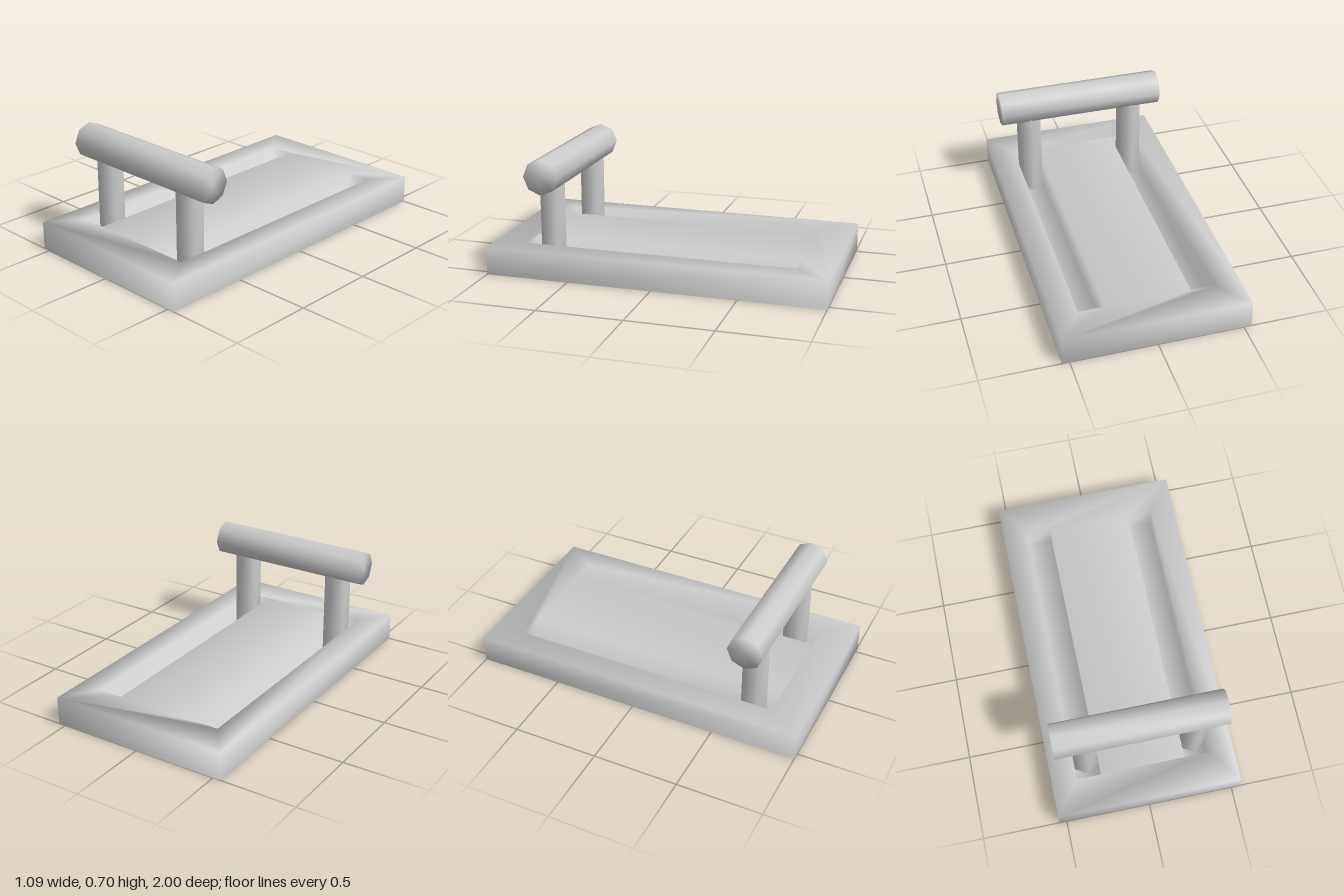
import * as THREE from 'three';
import { mergeGeometries, mergeVertices } from 'three/addons/utils/BufferGeometryUtils.js';

const material = new THREE.MeshStandardMaterial({ color: 0xcccccc, side: THREE.DoubleSide });

const HEIGHT = 0.167;
const SLOT_X = 0.325;

// Weld all corners so the low-poly shapes shade smoothly
function smooth(geometry) {
  geometry.deleteAttribute('normal');
  geometry.deleteAttribute('uv');
  const welded = mergeVertices(geometry, 1e-4);
  welded.computeVertexNormals();
  return welded;
}

function addMesh(parent, name, geometry) {
  const mesh = new THREE.Mesh(geometry, material);
  mesh.name = name;
  parent.add(mesh);
  return mesh;
}

// Rectangle corners, counter-clockwise, centred on cx
function rectangle(cx, halfWidth, halfLength) {
  return [[-1, -1], [1, -1], [1, 1], [-1, 1]].map(
    ([sx, sy]) => new THREE.Vector2(cx + sx * halfWidth, sy * halfLength));
}

// Vertical wall under a closed loop
function wall(loop) {
  const positions = [];
  const index = [];
  loop.forEach((p, i) => {
    const j = (i + 1) % loop.length;
    positions.push(p.x, 0, -p.y, p.x, HEIGHT, -p.y);
    index.push(2 * i, 2 * j, 2 * j + 1, 2 * i, 2 * j + 1, 2 * i + 1);
  });
  const geometry = new THREE.BufferGeometry();
  geometry.setAttribute('position', new THREE.Float32BufferAttribute(positions, 3));
  geometry.setIndex(index);
  return geometry;
}

// Open-bottomed tray with two long sunken channels
function trayGeometry() {
  const outer = rectangle(0, 0.544, 1);
  const slots = [-1, 1].map((s) => rectangle(s * SLOT_X, 0.075, 0.803).reverse());
  const shape = new THREE.Shape(outer);
  shape.holes = slots.map((s) => new THREE.Path(s));
  const top = new THREE.ShapeGeometry(shape).rotateX(-Math.PI / 2).translate(0, HEIGHT, 0);
  const floors = slots.map((s) => new THREE.ShapeGeometry(new THREE.Shape(s)).rotateX(-Math.PI / 2));
  const parts = [top, ...floors, wall(outer), ...slots.map(wall)];
  parts.forEach((g) => {
    g.deleteAttribute('normal');
    g.deleteAttribute('uv');
  });
  return smooth(mergeGeometries(parts));
}

export function createModel() {
  const model = new THREE.Group();
  model.name = 'pushSled';

  addMesh(model, 'tray', trayGeometry());

  const handle = new THREE.Group();
  handle.name = 'handle';
  handle.position.z = 0.664;
  model.add(handle);

  // Octagonal cross bar
  const bar = new THREE.CylinderGeometry(0.104, 0.104, 1.005, 8).rotateZ(Math.PI / 2);
  addMesh(handle, 'crossBar', smooth(bar)).position.y = 0.597;

  // Hexagonal posts standing in the channels
  for (const side of [-1, 1]) {
    const post = new THREE.CylinderGeometry(0.078, 0.078, 0.56, 6);
    addMesh(handle, side > 0 ? 'leftPost' : 'rightPost', smooth(post))
      .position.set(side * SLOT_X, 0.285, 0);
  }
  return model;
}
